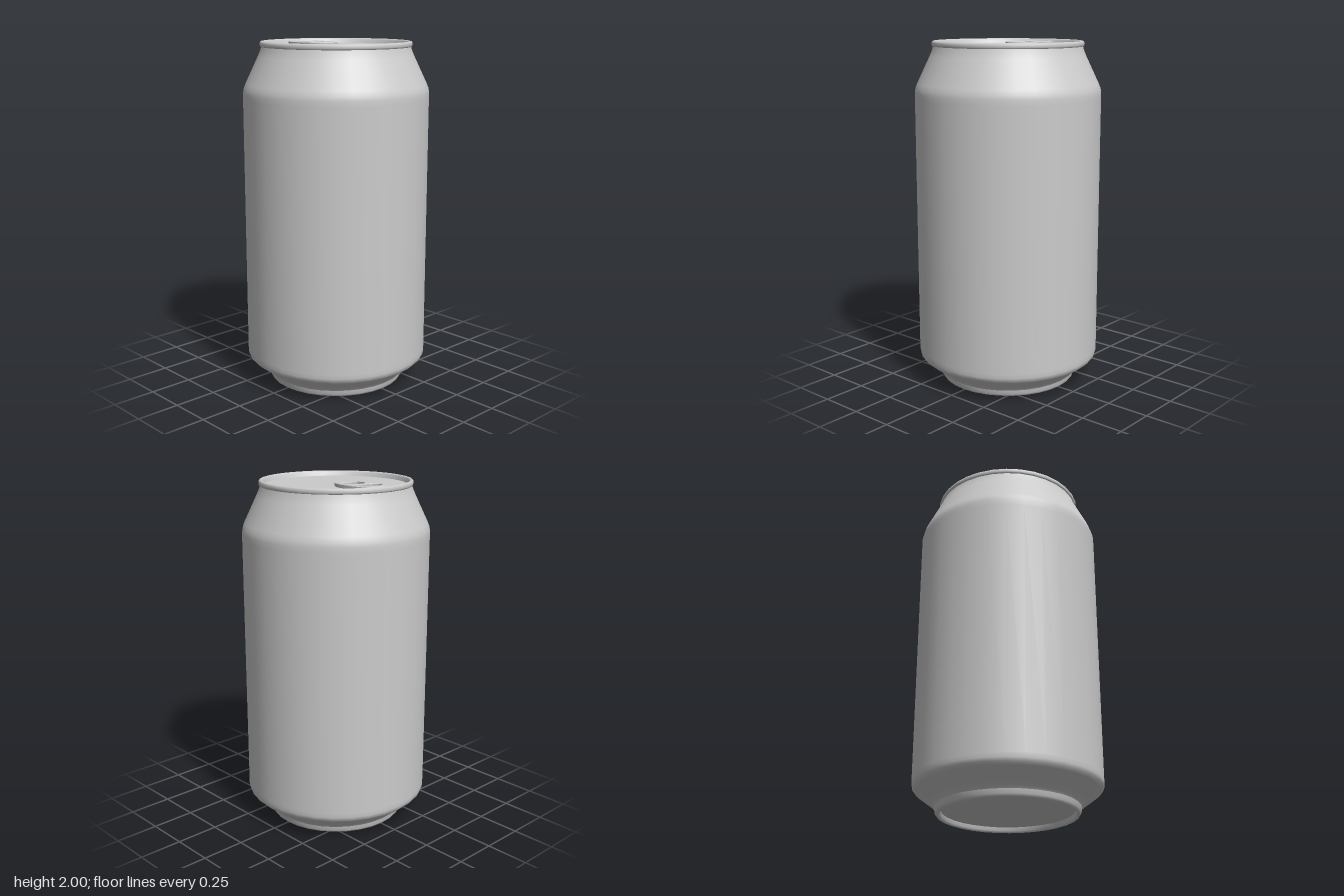
import * as THREE from 'three';

const SIDES = 32;
const LID_Y = 1.97;

const material = new THREE.MeshStandardMaterial({ color: 0xcccccc });

// Turned part from [radius, height] pairs
function turned(name, profile) {
  const points = profile.map(([r, y]) => new THREE.Vector2(r, y));
  const mesh = new THREE.Mesh(new THREE.LatheGeometry(points, SIDES), material);
  mesh.name = name;
  return mesh;
}

// Closed outline, symmetric about x = 0: cubic segments of the right half, bottom to top
function mirrored(path, start, curves) {
  path.moveTo(...start);
  for (const c of curves) path.bezierCurveTo(...c);
  let ends = [start, ...curves.map((c) => c.slice(4))];
  for (let i = curves.length - 1; i >= 0; i--) {
    const [ax, ay, bx, by] = curves[i];
    path.bezierCurveTo(-bx, by, -ax, ay, -ends[i][0], ends[i][1]);
  }
  return path;
}

function pullTab() {
  const shape = mirrored(new THREE.Shape(), [0, 0.032], [
    [0.075, 0.032, 0.098, 0.1, 0.098, 0.2],
    [0.098, 0.3, 0.085, 0.35, 0, 0.35],
  ]);
  // Finger hole
  shape.holes.push(mirrored(new THREE.Path(), [0, 0.222], [
    [0.02, 0.222, 0.035, 0.222, 0.045, 0.223],
    [0.065, 0.225, 0.081, 0.25, 0.081, 0.268],
    [0.081, 0.3, 0.045, 0.322, 0, 0.322],
  ]));
  // Rivet hole, with a bulging lower edge
  shape.holes.push(mirrored(new THREE.Path(), [0, 0.107], [
    [0.02, 0.107, 0.035, 0.103, 0.046, 0.097],
    [0.06, 0.089, 0.071, 0.1, 0.071, 0.125],
    [0.071, 0.17, 0.04, 0.203, 0, 0.203],
  ]));
  const geometry = new THREE.ExtrudeGeometry(shape, {
    depth: 0.016, curveSegments: 8,
    bevelEnabled: true, bevelThickness: 0.003, bevelSize: 0.003, bevelSegments: 1,
  });
  geometry.rotateX(-Math.PI / 2);
  const mesh = new THREE.Mesh(geometry, material);
  mesh.name = 'pullTab';
  mesh.position.y = LID_Y + 0.002;
  return mesh;
}

export function createModel() {
  const can = new THREE.Group();
  can.name = 'drinkCan';

  can.add(
    // Recessed underside
    turned('bottomPanel', [[0, 0.03], [0.37, 0.03]]),
    // Foot ring, from the recess to the outer edge
    turned('footRing', [
      [0.37, 0.03], [0.374, 0.01], [0.38, 0.002], [0.387, 0],
      [0.395, 0.003], [0.402, 0.015], [0.407, 0.04],
    ]),
    // Lower taper, straight wall and neck
    turned('body', [
      [0.407, 0.04], [0.415, 0.052], [0.435, 0.07], [0.515, 0.13], [0.53, 0.145],
      [0.535, 0.165], [0.535, 0.19], [0.535, 1.68], [0.535, 1.71],
      [0.531, 1.735], [0.52, 1.762], [0.447, 1.915], [0.434, 1.945], [0.426, 1.972],
    ]),
    // Rolled rim
    turned('rim', [
      [0.424, 1.968], [0.431, 1.969], [0.435, 1.977], [0.435, 1.99],
      [0.43, 1.998], [0.423, 2], [0.416, 1.997], [0.412, 1.99], [0.405, LID_Y],
    ]),
    turned('lid', [[0.405, LID_Y], [0, LID_Y]]),
    pullTab(),
  );
  return can;
}
